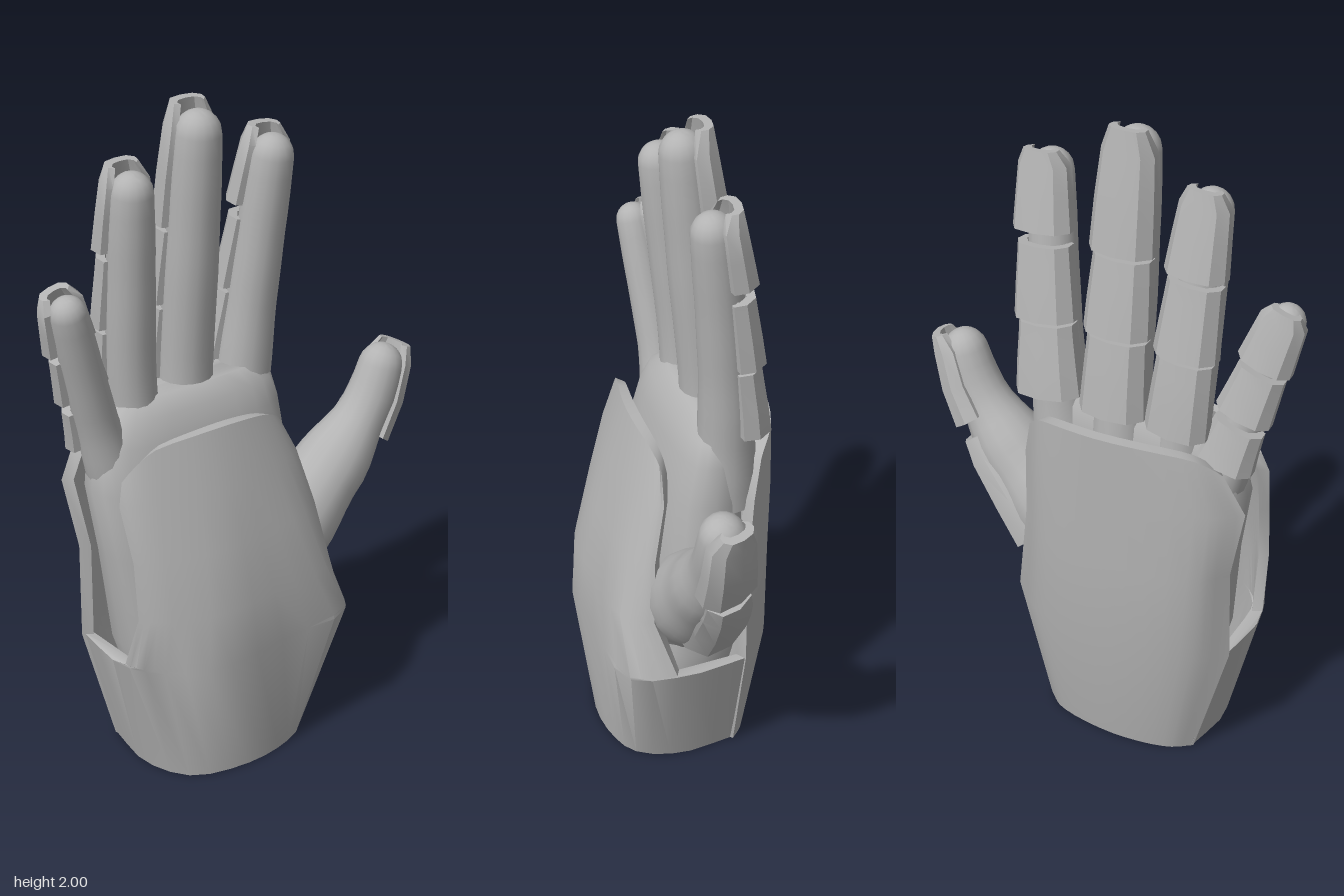
import * as THREE from 'three';
import { toCreasedNormals } from 'three/addons/utils/BufferGeometryUtils.js';

const V = (x, y, z) => new THREE.Vector3(x, y, z);
const grey = new THREE.MeshStandardMaterial({ color: 0xb3b3b3 });
grey.name = 'grey';

// Closed solid through rings of equal, even point count; ends are capped by strips.
function loft(rings, crease) {
  const n = rings[0].length, idx = [];
  const quad = (a, b, c, d) => idx.push(a, b, c, a, c, d);
  for (let r = 0; r < rings.length - 1; r++)
    for (let i = 0; i < n; i++) {
      const j = (i + 1) % n;
      quad(r * n + i, r * n + j, (r + 1) * n + j, (r + 1) * n + i);
    }
  const last = (rings.length - 1) * n;
  for (let i = 0; i < n / 2 - 1; i++) {
    quad(i, n - 1 - i, n - 2 - i, i + 1);
    quad(last + i, last + i + 1, last + n - 2 - i, last + n - 1 - i);
  }
  const pts = rings.flat();
  // turn the faces outward
  let volume = 0;
  for (let i = 0; i < idx.length; i += 3)
    volume += pts[idx[i]].dot(pts[idx[i + 1]].clone().cross(pts[idx[i + 2]]));
  if (volume < 0) idx.reverse();
  const g = new THREE.BufferGeometry().setFromPoints(pts);
  g.setIndex(idx);
  return toCreasedNormals(g, crease);
}

function add(group, name, geometry) {
  const mesh = new THREE.Mesh(geometry, grey);
  mesh.name = name;
  group.add(mesh);
}

// Curved armour shell: rows of [y, [x, z]...], smoothed along each row,
// thickened toward the hand's core; the top edge sinks by drop at both ends.
function shell(rows, thickness, drop) {
  const samples = 18;
  return loft(rows.map(([y, ...p], r) => {
    const curve = new THREE.CatmullRomCurve3(p.map(([x, z]) => V(x, y, z)), false, 'centripetal');
    const outer = Array.from({ length: samples + 1 }, (_, i) => {
      const f = i / samples, q = curve.getPoint(f);
      if (r === rows.length - 1) q.y -= drop * (2 * f - 1) ** 2;
      return q;
    });
    const inner = outer.map(q => {
      const d = V(-q.x, 0, (0.12 - q.z) * 0.5).normalize();
      return q.clone().addScaledVector(d, thickness);
    });
    return [...outer, ...inner.reverse()];
  }), 0.6);
}

// Finger with rounded tip, plus separate armour plates [start, end, spread] over its back.
function finger(group, name, { path, radii, back, plates, gap = 0.03 }) {
  const curve = new THREE.CatmullRomCurve3(path.map(p => V(...p)));
  const length = curve.getLength();
  const radiusAt = t => {
    const f = Math.min(t, 0.9999) * (radii.length - 1), i = Math.floor(f);
    return THREE.MathUtils.lerp(radii[i], radii[i + 1], THREE.MathUtils.smoothstep(f - i, 0, 1));
  };
  const frame = t => {
    const c = Math.min(t, 1), T = curve.getTangentAt(c);
    const S = T.clone().cross(V(...back)).normalize();
    const D = S.clone().cross(T).normalize();
    const P = curve.getPointAt(c).addScaledVector(T, (t - c) * length);
    return (s, d) => P.clone().addScaledVector(S, s).addScaledVector(D, d);
  };

  const tip = radiusAt(1) / length;
  const stations = [];
  for (let i = 0; i <= 16; i++) stations.push([(1 - tip) * i / 16, 1]);
  for (const a of [0.35, 0.7, 1.0, 1.25, 1.45])
    stations.push([1 - tip + tip * Math.sin(a), Math.cos(a)]);
  add(group, name, loft(stations.map(([t, k]) => {
    const at = frame(t), r = radiusAt(t) * k;
    return Array.from({ length: 16 }, (_, i) => {
      const a = i / 16 * Math.PI * 2;
      return at(r * Math.cos(a), r * Math.sin(a));
    });
  }), 1.2));

  const profile = [[0.86, 0.2], [0.9, 0.6], [0.62, 0.97], [0, 1.08], [-0.62, 0.97], [-0.9, 0.6], [-0.86, 0.2]];
  plates.forEach(([t0, t1, spread = 1], p) => {
    const isTip = p === plates.length - 1;
    const rings = [0, 0.4, 0.8, 1].map(f => {
      const t = t0 + (t1 - t0) * f, at = frame(t);
      const R = radiusAt(t) + gap * (1.1 - 0.4 * f), end = isTip && f === 1;
      const width = end ? 0.7 : spread;
      const ring = k => profile.map(([s, d]) => at(s * k * width, end ? (0.4 + 0.6 * d) * k : d * k));
      return [...ring(R), ...ring(R - 0.024).reverse()];
    });
    add(group, name + 'Plate' + (p + 1), loft(rings, 0.6));
  });
}

export function createModel() {
  const model = new THREE.Group();
  model.name = 'armouredHand';

  // Palm and wrist: [y, xMin, xMax, zMin, zMax]
  const palm = [
    [0.05, -0.13, 0.16, -0.08, 0.31], [0.4, -0.17, 0.12, -0.2, 0.41], [0.7, -0.18, 0.09, -0.2, 0.44],
    [0.92, -0.18, 0.07, -0.195, 0.475], [1.05, -0.175, 0.035, -0.185, 0.455],
    [1.12, -0.165, 0.01, -0.17, 0.41], [1.165, -0.14, -0.03, -0.12, 0.33],
  ];
  add(model, 'palm', loft(palm.map(([y, x0, x1, z0, z1]) => Array.from({ length: 24 }, (_, i) => {
    const a = i / 24 * Math.PI * 2, c = Math.cos(a), s = Math.sin(a);
    const e = v => Math.sign(v) * Math.abs(v) ** 0.7;
    return V((x0 + x1) / 2 + e(c) * (x1 - x0) / 2, y, (z0 + z1) / 2 + e(s) * (z1 - z0) / 2);
  })), 1));

  // Four fingers and the thumb
  const back = [-1, 0, 0];
  finger(model, 'littleFinger', {
    path: [[-0.07, 0.75, 0.33], [-0.065, 1.08, 0.43], [-0.04, 1.33, 0.503], [-0.013, 1.555, 0.568]],
    radii: [0.07, 0.075, 0.062, 0.058, 0.052], back,
    plates: [[0.39, 0.54], [0.585, 0.76], [0.79, 1.0]],
  });
  finger(model, 'ringFinger', {
    path: [[-0.1, 0.9, 0.27], [-0.1, 1.2, 0.298], [-0.065, 1.55, 0.315], [-0.028, 1.855, 0.328]],
    radii: [0.09, 0.074, 0.073, 0.069, 0.06], back,
    plates: [[0.26, 0.49], [0.505, 0.73], [0.755, 1.01]],
  });
  finger(model, 'middleFinger', {
    path: [[-0.12, 0.95, 0.1], [-0.11, 1.2, 0.1], [-0.07, 1.6, 0.1], [-0.032, 1.985, 0.1]],
    radii: [0.09, 0.081, 0.08, 0.075, 0.066], back,
    plates: [[0.2, 0.42], [0.435, 0.655], [0.67, 1.01]],
  });
  finger(model, 'indexFinger', {
    path: [[-0.11, 0.9, -0.085], [-0.105, 1.2, -0.115], [-0.075, 1.55, -0.145], [-0.038, 1.86, -0.168]],
    radii: [0.1, 0.084, 0.075, 0.07, 0.062], back,
    plates: [[0.27, 0.49], [0.505, 0.73], [0.775, 1.01]],
  });
  finger(model, 'thumb', {
    path: [[0, 0.47, -0.06], [0.01, 0.63, -0.2], [0.02, 0.8, -0.37], [0.03, 0.97, -0.492], [0.035, 1.135, -0.55]],
    radii: [0.12, 0.145, 0.115, 0.077, 0.066], back: [-0.35, 0, -1], gap: 0.022,
    plates: [[0.2, 0.62, 0.75], [0.68, 1.005]],
  });

  // Wrist cuff wrapping around the sides and narrowing into the palm guard
  add(model, 'cuffAndPalmGuard', shell([
    [0, [-0.14, -0.13], [0.05, -0.16], [0.18, -0.11], [0.23, 0], [0.24, 0.15], [0.19, 0.31], [0.05, 0.38], [-0.14, 0.36]],
    [0.4, [-0.14, -0.245], [0.06, -0.28], [0.23, -0.245], [0.265, 0], [0.28, 0.25], [0.2, 0.4], [0.08, 0.475], [-0.14, 0.465]],
    [0.41, [0.09, -0.285], [0.15, -0.28], [0.23, -0.245], [0.265, 0], [0.28, 0.25], [0.2, 0.4], [0.14, 0.455], [0.09, 0.473]],
    [0.58, [0.145, -0.23], [0.18, -0.215], [0.235, -0.16], [0.255, 0.03], [0.268, 0.24], [0.215, 0.385], [0.18, 0.43], [0.145, 0.46]],
    [0.76, [0.13, -0.19], [0.15, -0.18], [0.19, -0.11], [0.215, 0.06], [0.222, 0.22], [0.18, 0.38], [0.155, 0.43], [0.13, 0.462]],
    [0.93, [0.09, -0.15], [0.11, -0.14], [0.145, -0.07], [0.17, 0.07], [0.172, 0.21], [0.14, 0.37], [0.115, 0.43], [0.085, 0.475]],
    [1.095, [0.08, -0.11], [0.09, -0.09], [0.105, -0.03], [0.12, 0.08], [0.118, 0.2], [0.095, 0.35], [0.085, 0.41], [0.07, 0.455]],
  ], 0.032, 0.1));

  // Plate over the back of the hand
  add(model, 'backPlate', shell([
    [0, [-0.135, 0.365], [-0.18, 0.3], [-0.21, 0.12], [-0.18, -0.08], [-0.135, -0.14]],
    [0.4, [-0.135, 0.475], [-0.225, 0.38], [-0.27, 0.15], [-0.235, -0.12], [-0.135, -0.25]],
    [0.7, [-0.14, 0.47], [-0.225, 0.4], [-0.275, 0.12], [-0.245, -0.1], [-0.15, -0.21]],
    [0.93, [-0.15, 0.515], [-0.22, 0.42], [-0.28, 0.1], [-0.25, -0.1], [-0.17, -0.195]],
    [1.13, [-0.165, 0.45], [-0.22, 0.37], [-0.283, 0.1], [-0.25, -0.09], [-0.2, -0.16]],
  ], 0.035, 0.08));

  return model;
}
